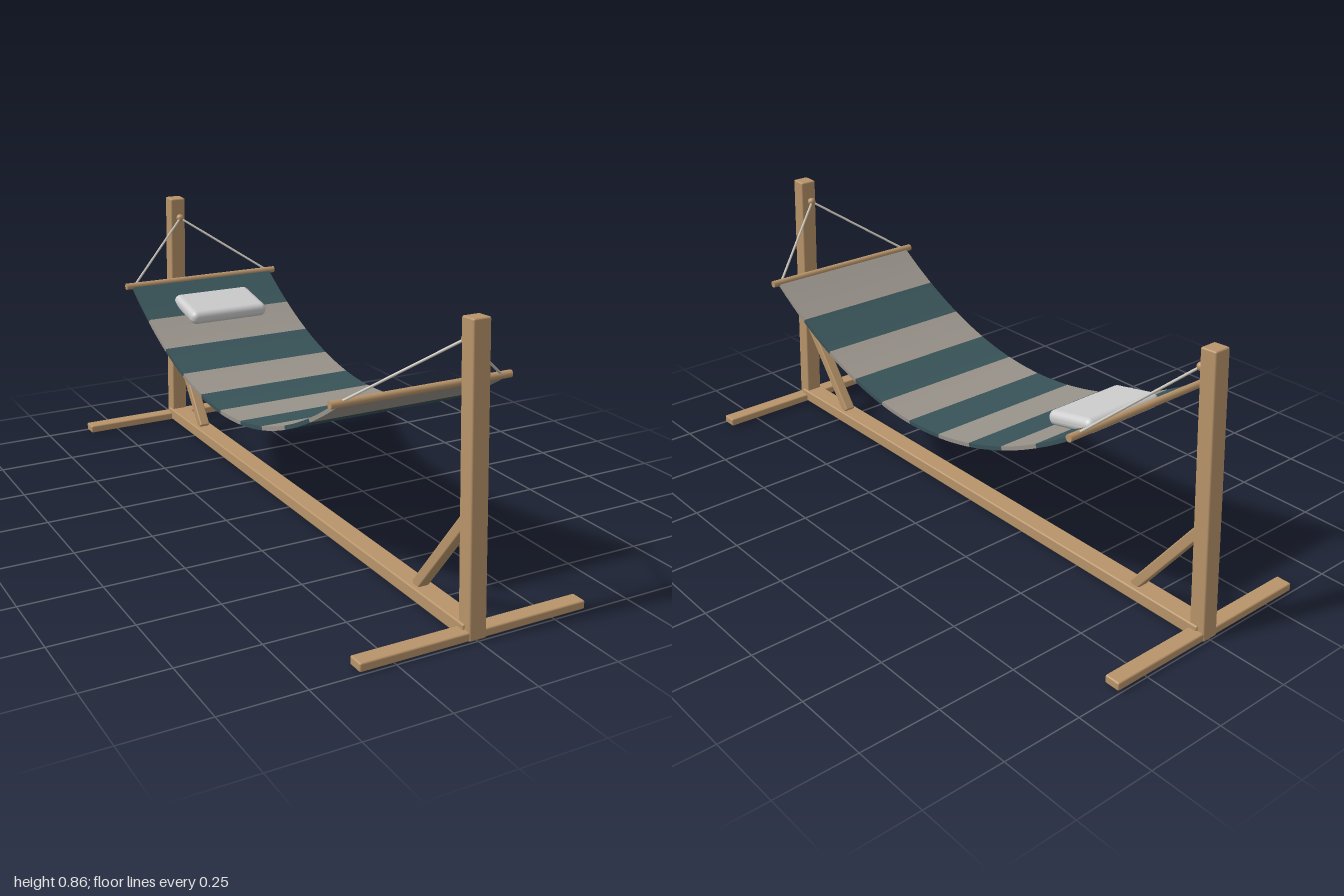
import * as THREE from 'three';
import { toCreasedNormals } from 'three/addons/utils/BufferGeometryUtils.js';
import { RoundedBoxGeometry } from 'three/addons/geometries/RoundedBoxGeometry.js';

const mat = (color) => new THREE.MeshStandardMaterial({ color });
const wood = mat(0xb8946a);
const rope = mat(0xc9c4b8);
const teal = mat(0x385358);
const linen = mat(0x98928a);
const cushion = mat(0xcccccc);
const UP = new THREE.Vector3(0, 1, 0);

function add(parent, name, geometry, material, x = 0, y = 0, z = 0) {
  const mesh = new THREE.Mesh(geometry, material);
  mesh.name = name;
  mesh.position.set(x, y, z);
  parent.add(mesh);
  return mesh;
}

// Place a part whose geometry runs along y between two points
function span(parent, name, from, to, makeGeometry, material) {
  const a = new THREE.Vector3(...from), b = new THREE.Vector3(...to);
  const dir = b.clone().sub(a);
  const mesh = add(parent, name, makeGeometry(dir.length()), material);
  mesh.position.copy(a).add(b).multiplyScalar(0.5);
  mesh.quaternion.setFromUnitVectors(UP, dir.normalize());
  return mesh;
}

const timber = (w, h, d) => new RoundedBoxGeometry(w, h, d, 2, 0.005);
const rod = (r, sides) => (length) => new THREE.CylinderGeometry(r, r, length, sides);

// One end of the stand with its hook, ropes and spreader bar
function createEnd(name) {
  const end = new THREE.Group();
  end.name = name;
  add(end, 'foot', timber(0.71, 0.026, 0.05), wood, 0, 0.017, 0.971);
  span(end, 'post', [0, 0.002, 0.973], [0, 0.858, 0.931], (l) => timber(0.054, l, 0.052), wood);
  span(end, 'brace', [0, 0.042, 0.72], [0, 0.335, 0.945], (l) => timber(0.036, l, 0.032), wood);
  span(end, 'hookStem', [0, 0.79, 0.89], [0, 0.79, 0.93], rod(0.005, 10), wood);
  add(end, 'hookKnob', new THREE.SphereGeometry(0.013, 16, 12), wood, 0, 0.79, 0.892);
  for (const side of [-1, 1]) {
    span(end, 'rope', [0, 0.789, 0.89], [side * 0.252, 0.61, 0.71], rod(0.004, 8), rope);
  }
  span(end, 'spreaderBar', [-0.285, 0.606, 0.71], [0.285, 0.606, 0.71], rod(0.011, 16), wood);
  return end;
}

// Striped sling: each stripe is a thin slab following a parabola
function createSling() {
  const sling = new THREE.Group();
  sling.name = 'sling';
  const count = 10, steps = 8, half = 0.705, thick = 0.006;
  const sag = (z) => 0.365 + 0.235 * (z / half) ** 2;
  for (let i = 0; i < count; i++) {
    const top = [], bottom = [];
    for (let j = 0; j <= steps; j++) {
      const z = -half + (2 * half * (i + j / steps)) / count;
      const slope = (0.47 * z) / half ** 2;
      const k = thick / Math.hypot(1, slope);
      top.unshift(new THREE.Vector2(z - slope * k, sag(z) + k));
      bottom.push(new THREE.Vector2(z + slope * k, sag(z) - k));
    }
    const slab = new THREE.ExtrudeGeometry(new THREE.Shape([...bottom, ...top]), {
      depth: 0.526, bevelEnabled: false,
    });
    slab.rotateY(-Math.PI / 2).translate(0.263, 0, 0);
    add(sling, 'stripe', toCreasedNormals(slab, 0.6), i % 2 ? linen : teal);
  }
  return sling;
}

export function createModel() {
  const model = new THREE.Group();
  model.name = 'hammock';

  add(model, 'baseBeam', timber(0.066, 0.04, 1.95), wood, 0, 0.025, 0);

  const front = createEnd('frontEnd');
  const back = createEnd('backEnd');
  back.rotation.y = Math.PI;
  model.add(front, back, createSling());

  // Pillow resting on the rear slope
  const pillow = add(model, 'pillow', new RoundedBoxGeometry(0.28, 0.046, 0.174, 5, 0.021),
    cushion, 0, 0.541, -0.558);
  pillow.rotation.x = 0.2;

  return model;
}
